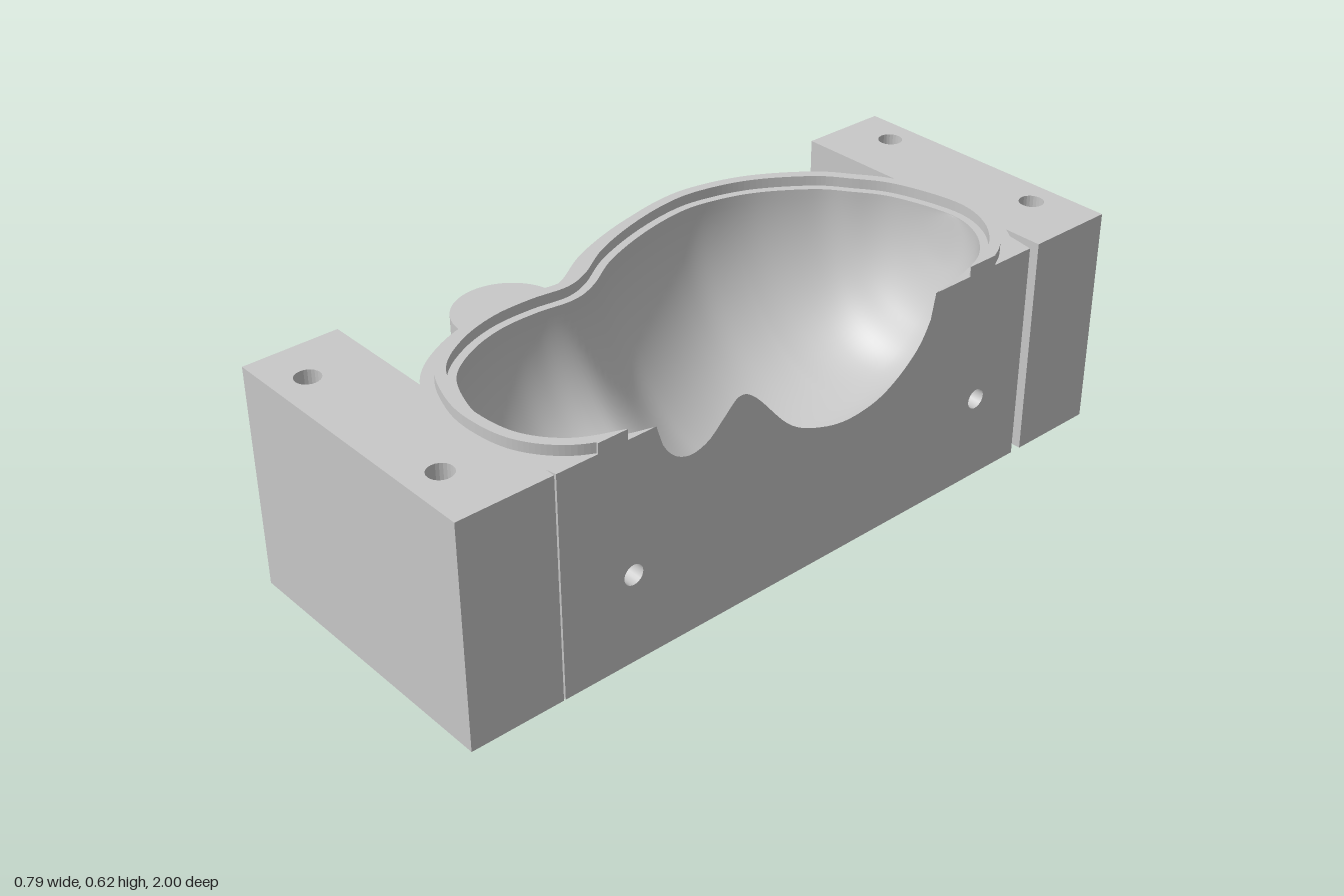
import * as THREE from 'three';

const H = 0.595, RIM = 0.622, XR = 0.395; // body top, ridge top, flat side plane
const V = (x, z) => new THREE.Vector2(x, z);
const spline = (pts, n) => new THREE.SplineCurve(pts.map(p => V(...p))).getPoints(n);

// Cavity edge seen from above (x, z), running from the front of the flat side round to its back
const edge = spline([
  [0.407, 0.43], [0.395, 0.475], [0.37, 0.555], [0.325, 0.65], [0.245, 0.712], [0.14, 0.73], [0.05, 0.717],
  [-0.05, 0.67], [-0.115, 0.58], [-0.15, 0.475], [-0.155, 0.37], [-0.145, 0.265], [-0.17, 0.185],
  [-0.235, 0.08], [-0.285, -0.05], [-0.315, -0.185], [-0.315, -0.29], [-0.275, -0.425], [-0.19, -0.555],
  [-0.115, -0.618], [-0.02, -0.678], [0.14, -0.715], [0.245, -0.69], [0.325, -0.62], [0.365, -0.53],
  [0.395, -0.39], [0.402, -0.34]], 260);

// Depth of the cavity along z, and depth of the opening it cuts in the flat side: (depth, z)
const depth = spline([
  [0, 0.73], [0.1, 0.72], [0.24, 0.68], [0.37, 0.58], [0.4, 0.45], [0.365, 0.3], [0.365, 0.22], [0.43, 0.05],
  [0.46, -0.2], [0.4, -0.5], [0.29, -0.62], [0.14, -0.69], [0, -0.715]], 160);
const opening = spline([
  [0, 0.475], [0.06, 0.455], [0.1, 0.42], [0.115, 0.375], [0.1, 0.325], [0.06, 0.28], [0.025, 0.235],
  [0.05, 0.185], [0.165, 0.08], [0.215, -0.02], [0.232, -0.12], [0.21, -0.23], [0.14, -0.33],
  [0.06, -0.38], [0, -0.39]], 90);

// Linear lookup of x where a run of points crosses z
function at(list, z) {
  for (let i = 1; i < list.length; i++) {
    const a = list[i - 1], b = list[i];
    if ((a.y - z) * (b.y - z) <= 0 && a.y !== b.y) return a.x + (b.x - a.x) * (z - a.y) / (b.y - a.y);
  }
  return 0;
}

// Edge moved outwards by d and cut off at the flat side
function offset(d, limit = XR, zStart, zEnd) {
  const pts = edge.map((p, i) => {
    const a = edge[Math.max(i - 1, 0)], b = edge[Math.min(i + 1, edge.length - 1)];
    const t = b.clone().sub(a).normalize();
    return V(p.x + t.y * d, p.y - t.x * d);
  }).filter(p => p.x < limit);
  return [V(XR, zStart ?? pts[0].y), ...pts, V(XR, zEnd ?? pts[pts.length - 1].y)];
}

// Surface through rows of points
function grid(rows) {
  const n = rows[0].length, index = [];
  for (let i = 0; i < rows.length - 1; i++) for (let j = 0; j < n - 1; j++) {
    const a = i * n + j;
    index.push(a, a + n, a + 1, a + 1, a + n, a + n + 1);
  }
  const g = new THREE.BufferGeometry().setFromPoints(rows.flat());
  g.setIndex(index);
  g.computeVertexNormals();
  return g;
}

// Plan shape (x, z) raised between two heights
function raise(shape, y0, y1) {
  return new THREE.ExtrudeGeometry(shape, { depth: y1 - y0, bevelEnabled: false })
    .rotateX(Math.PI / 2).translate(0, y1, 0);
}
const flat = (shape, y) => new THREE.ShapeGeometry(shape).rotateX(Math.PI / 2).translate(0, y, 0);

function ring(x, y, r, n) {
  const pts = [];
  for (let i = 0; i < n; i++) pts.push(V(x + r * Math.cos(i / n * 2 * Math.PI), y + r * Math.sin(i / n * 2 * Math.PI)));
  return new THREE.Path(pts);
}

export function createModel() {
  const model = new THREE.Group();
  const grey = new THREE.MeshStandardMaterial({ color: 0xc8c8c8, side: THREE.DoubleSide });
  grey.name = 'mouldGrey';
  const add = (name, geometry) => {
    const mesh = new THREE.Mesh(geometry, grey);
    mesh.name = name;
    model.add(mesh);
  };

  // Body: curved wall, top land around the cavity, base
  const outer = offset(0.08, 0.33, 0.745, -0.725);
  const inner = offset(0);
  add('bodyWall', grid([0, H].map(y => outer.map(p => new THREE.Vector3(p.x, y, p.y)))));
  add('bodyTop', flat(new THREE.Shape([...outer, ...inner.slice().reverse()]), H));
  add('bodyBase', flat(new THREE.Shape(outer), 0));

  // Raised locating ridge
  add('ridge', raise(new THREE.Shape([...offset(0.048), ...offset(0.021).reverse()]), H, RIM));

  // Flat side with the cut-out and two cross holes
  const side = new THREE.Shape([V(-0.725, 0), V(0.745, 0), V(0.745, H),
    ...opening.map(p => V(p.y, H - Math.max(p.x, 0))), V(-0.725, H)]);
  for (const [z, y] of [[0.545, 0.24], [-0.565, 0.23]]) {
    side.holes.push(ring(z, y, 0.027, 24));
    add('crossHole', new THREE.CylinderGeometry(0.027, 0.027, 0.15, 24, 1, true)
      .rotateZ(Math.PI / 2).translate(XR - 0.075, y, z));
  }
  add('flatSide', new THREE.ShapeGeometry(side).rotateY(-Math.PI / 2).translate(XR, 0, 0));

  // Two-lobed cavity, swept from cross-sections along z
  let iMax = 0, iMin = 0;
  edge.forEach((p, i) => {
    if (p.y > edge[iMax].y) iMax = i;
    if (p.y < edge[iMin].y) iMin = i;
  });
  const left = edge.slice(iMax, iMin + 1);
  const rightFront = edge.slice(0, iMax + 1), rightBack = edge.slice(iMin);
  const zA = edge[iMax].y, zB = edge[iMin].y, rows = [], N = 140, M = 48;
  for (let i = 0; i <= N; i++) {
    const z = (zA + zB) / 2 + (zA - zB) / 2 * Math.cos(Math.PI * i / N) * 0.99999;
    const open = z < 0.475 && z > -0.39;
    const x0 = at(left, z), x1 = open ? XR : Math.min(at(z > 0 ? rightFront : rightBack, z), XR);
    const d = Math.max(at(depth, z), 0.002), p = open ? Math.max(at(opening, z), 0) : 0;
    const xm = x0 + (x1 - x0) * 0.56, tEnd = Math.acos(Math.min(p / d, 0.99));
    const wR = (x1 - xm) / Math.sin(tEnd), row = [];
    for (let j = 0; j <= M; j++) {
      const t = -Math.PI / 2 + (tEnd + Math.PI / 2) * j / M;
      row.push(new THREE.Vector3(xm + (t < 0 ? xm - x0 : wR) * Math.sin(t), H - d * Math.cos(t), z));
    }
    rows.push(row);
  }
  add('cavity', grid(rows));

  // Half-round boss on the curved side
  add('sideBoss', new THREE.CylinderGeometry(0.135, 0.135, H, 32, 1, false, Math.PI, Math.PI)
    .translate(-0.205, H / 2, 0.41));

  // End blocks: bolt holes above, hexagonal nut pockets below
  for (const [z0, z1, zh] of [[0.75, 1, 0.915], [-1, -0.757, -0.922]]) {
    for (const [y0, y1, r, n] of [[0, 0.1, 0.056, 6], [0.1, H, 0.032, 24]]) {
      const block = new THREE.Shape([V(-0.398, z0), V(XR, z0), V(XR, z1), V(-0.398, z1)]);
      block.holes.push(ring(-0.265, zh, r, n), ring(0.23, zh, r, n));
      add(n === 6 ? 'nutPocketBlock' : 'boltHoleBlock', raise(block, y0, y1));
    }
  }
  return model;
}
